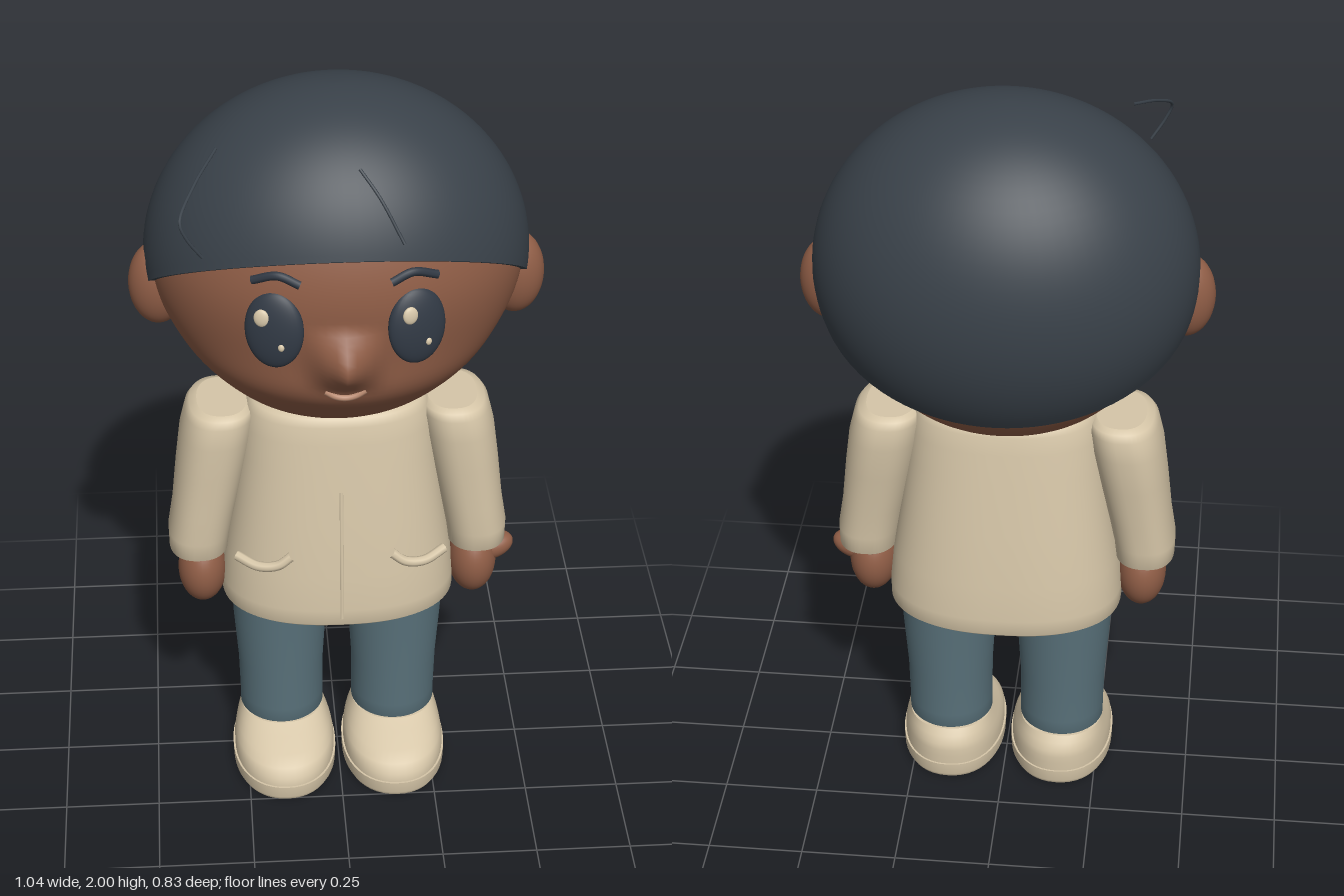
import * as THREE from 'three';
import { mergeVertices } from 'three/addons/utils/BufferGeometryUtils.js';

const mat = (name, color, side = THREE.FrontSide) => {
  const m = new THREE.MeshStandardMaterial({ color, side });
  m.name = name;
  return m;
};

// Skin a stack of closed rings (bottom to top), with crisp flat end caps
function loftRings(rings) {
  const pos = [], idx = [], n = rings[0].length;
  rings.forEach(r => r.forEach(p => pos.push(p.x, p.y, p.z)));
  for (let i = 0; i < rings.length - 1; i++) for (let j = 0; j < n; j++) {
    const a = i * n + j, b = i * n + (j + 1) % n;
    idx.push(a, a + n, b, b, a + n, b + n);
  }
  for (const [ring, top] of [[rings[0], false], [rings[rings.length - 1], true]]) {
    const base = pos.length / 3;
    const c = ring.reduce((s, p) => s.add(p), new THREE.Vector3()).divideScalar(n);
    [c, ...ring].forEach(p => pos.push(p.x, p.y, p.z));
    for (let j = 0; j < n; j++) {
      const a = base + 1 + j, b = base + 1 + (j + 1) % n;
      idx.push(base, top ? b : a, top ? a : b);
    }
  }
  const g = new THREE.BufferGeometry();
  g.setAttribute('position', new THREE.Float32BufferAttribute(pos, 3));
  g.setIndex(idx);
  g.computeVertexNormals();
  return g;
}

// Superellipse sections: [y, centreX, halfX, halfZ, centreZ]
function loft(rows, power = 2, n = 48) {
  const bend = v => Math.sign(v) * Math.abs(v) ** (2 / power);
  return loftRings(rows.map(([y, cx, hx, hz, cz]) => Array.from({ length: n }, (_, j) => {
    const a = j / n * Math.PI * 2;
    return new THREE.Vector3(cx + hx * bend(Math.cos(a)), y, cz + hz * bend(Math.sin(a)));
  })));
}

function tube(points, radius) {
  const curve = new THREE.CatmullRomCurve3(points.map(p => new THREE.Vector3(...p)));
  return new THREE.TubeGeometry(curve, 24, radius, 8);
}

// Tapered head with a full chin and a pointed nose pulled out of the surface
function headGeometry() {
  const profile = new THREE.SplineCurve([
    [0, 1.11], [0.13, 1.125], [0.25, 1.18], [0.36, 1.295], [0.425, 1.4], [0.46, 1.5], [0.466, 1.6],
    [0.44, 1.7], [0.385, 1.8], [0.285, 1.9], [0.15, 1.95], [0, 1.97],
  ].map(p => new THREE.Vector2(...p))).getPoints(70);
  profile.forEach(p => { p.x = Math.max(p.x, 0); });
  let g = new THREE.LatheGeometry(profile, 120);
  g.deleteAttribute('uv');
  g.deleteAttribute('normal');
  const p = g.attributes.position;
  for (let i = 0; i < p.count; i++) {
    const x = p.getX(i), y = p.getY(i);
    let z = p.getZ(i) * 0.8 - 0.03;
    if (z > 0) {
      z += 0.055 * Math.exp(-(((y - 1.3) / 0.1) ** 2)) * z / 0.35;
      const dy = Math.min(Math.abs(y - 1.44) / 0.1, 1);
      z += 0.08 * Math.max(0, 1 - Math.abs(x) / 0.1) * Math.cos(dy * Math.PI / 2) ** 1.5;
    }
    p.setZ(i, z);
  }
  g = mergeVertices(g, 1e-5);
  g.computeVertexNormals();
  return g;
}

// Ellipsoid cap cut by a plane that slopes from the fringe down to the nape
function hairGeometry() {
  const rx = 0.48, ry = 0.45, rz = 0.385, slope = 0.69, c = -0.087, n = 72, rows = 32;
  const rings = [];
  for (let i = 0; i <= rows; i++) {
    const t = Math.max(1 - i / rows, 0.004), ring = [];
    for (let j = 0; j < n; j++) {
      const a = j / n * Math.PI * 2, k = slope * rz * Math.sin(a);
      const th = t * (Math.acos(c / Math.hypot(ry, k)) - Math.atan2(k, ry));
      ring.push(new THREE.Vector3(rx * Math.sin(th) * Math.cos(a), 1.55 + ry * Math.cos(th),
        -0.03 + rz * Math.sin(th) * Math.sin(a)));
    }
    rings.push(ring);
  }
  return loftRings(rings);
}

export function createModel() {
  const model = new THREE.Group();
  model.name = 'child';
  const skin = mat('skin brown', 0x8f5d46);
  const hair = mat('hair charcoal', 0x394149);
  const eyeDark = mat('eye dark', 0x303843);
  const cream = mat('jacket cream', 0xd6c6a8);
  const denim = mat('trouser blue', 0x587079);
  const lip = mat('lip tan', 0xb98a70);

  const add = (name, geometry, material, parent = model) => {
    const m = new THREE.Mesh(geometry, material);
    m.name = name;
    parent.add(m);
    return m;
  };
  const ball = (name, material, at, size, parent) => {
    const m = add(name, new THREE.SphereGeometry(1, 32, 24), material, parent);
    m.position.set(...at);
    m.scale.set(...size);
    return m;
  };

  // Head and hair
  add('head', headGeometry(), skin);
  add('hair', hairGeometry(), hair);
  add('looseStrand', tube([[-0.295, 1.92, 0.14], [-0.35, 1.88, 0.25], [-0.385, 1.83, 0.335],
    [-0.37, 1.79, 0.34], [-0.335, 1.735, 0.33]], 0.004), hair);
  add('partingStrand', tube([[0.04, 1.895, 0.217], [0.085, 1.84, 0.262], [0.14, 1.74, 0.305]], 0.004), hair);
  add('mouth', tube([[-0.05, 1.35, 0.321], [-0.025, 1.335, 0.322], [0, 1.33, 0.322],
    [0.025, 1.335, 0.322], [0.05, 1.35, 0.321]], 0.008), lip);

  for (const [side, s] of [['left', 1], ['right', -1]]) {
    // Ear, eye with highlights, and brow
    ball(side + 'Ear', skin, [s * 0.447, 1.48, -0.01], [0.073, 0.112, 0.063]);
    const eye = new THREE.Group();
    eye.name = side + 'Eye';
    eye.position.set(s * 0.17, 1.53, 0.322);
    eye.rotation.set(-0.15, s * 0.3, 0);
    model.add(eye);
    ball('eyeball', eyeDark, [0, 0, 0], [0.073, 0.097, 0.026], eye);
    ball('largeHighlight', cream, [-0.025, 0.035, 0.022], [0.019, 0.022, 0.008], eye);
    ball('smallHighlight', cream, [0.022, -0.037, 0.021], [0.008, 0.01, 0.006], eye);
    add(side + 'Brow', tube([[s * 0.108, 1.65, 0.326], [s * 0.16, 1.67, 0.313], [s * 0.22, 1.65, 0.292]], 0.011), eyeDark);

    // Sleeve and hand
    add(side + 'Sleeve', loft([
      [0.69, s * 0.365, 0.066, 0.09, 0], [0.7, s * 0.367, 0.078, 0.104, 0], [0.75, s * 0.365, 0.081, 0.108, 0],
      [0.83, s * 0.35, 0.083, 0.112, -0.002], [0.95, s * 0.33, 0.09, 0.122, -0.008],
      [1.05, s * 0.313, 0.094, 0.13, -0.012], [1.11, s * 0.302, 0.09, 0.127, -0.012],
      [1.128, s * 0.298, 0.082, 0.115, -0.012], [1.135, s * 0.296, 0.065, 0.095, -0.012],
    ], 2.4), cream);
    ball(side + 'Hand', skin, [s * 0.36, 0.62, 0.012], [0.064, 0.098, 0.08]);

    // Trouser leg
    add(side + 'Leg', loft([
      [0.14, s * 0.153, 0.105, 0.106, -0.01], [0.15, s * 0.153, 0.113, 0.115, -0.01],
      [0.19, s * 0.153, 0.113, 0.117, -0.01], [0.3, s * 0.154, 0.115, 0.117, -0.01],
      [0.45, s * 0.155, 0.125, 0.124, -0.012], [0.58, s * 0.155, 0.13, 0.128, -0.012],
    ]), denim);

    // Shoe with a slightly stepped sole
    add(side + 'Sole', loft([
      [0, s * 0.15, 0.134, 0.203, 0.05], [0.012, s * 0.15, 0.14, 0.21, 0.05], [0.045, s * 0.15, 0.141, 0.211, 0.05],
    ], 2.2), cream);
    add(side + 'Shoe', loft([
      [0.04, s * 0.15, 0.136, 0.206, 0.05], [0.07, s * 0.15, 0.136, 0.206, 0.049],
      [0.09, s * 0.15, 0.132, 0.195, 0.039], [0.108, s * 0.151, 0.126, 0.176, 0.022],
      [0.128, s * 0.152, 0.118, 0.144, 0.002], [0.146, s * 0.153, 0.111, 0.117, -0.011],
    ], 2.2), cream);

    // Curved pocket welt
    add(side + 'Pocket', tube([[s * 0.13, 0.768, 0.192], [s * 0.165, 0.742, 0.193],
      [s * 0.215, 0.733, 0.18], [s * 0.27, 0.745, 0.145]], 0.013), cream);
  }

  // Left thumb pointing outward
  const thumb = ball('leftThumb', skin, [0.412, 0.652, 0.01], [0.06, 0.036, 0.04]);
  thumb.rotation.z = 0.35;

  // Jacket body, front seam and hips under the hem
  add('jacket', loft([
    [0.545, 0, 0.295, 0.208, -0.01], [0.556, 0, 0.308, 0.22, -0.01], [0.6, 0, 0.308, 0.221, -0.01],
    [0.7, 0, 0.298, 0.214, -0.01], [0.85, 0, 0.275, 0.197, -0.01], [1.0, 0, 0.256, 0.178, -0.01],
    [1.08, 0, 0.247, 0.167, -0.01], [1.13, 0, 0.236, 0.16, -0.01], [1.15, 0, 0.222, 0.15, -0.01],
    [1.158, 0, 0.2, 0.135, -0.01],
  ], 2.4, 72), cream);
  add('frontSeam', tube([[0, 0.575, 0.208], [0, 0.7, 0.201], [0, 0.85, 0.184], [0, 0.95, 0.171]], 0.006), cream);
  add('hips', loft([[0.538, 0, 0.15, 0.1, -0.01], [0.6, 0, 0.15, 0.1, -0.01]]), denim);

  return model;
}
